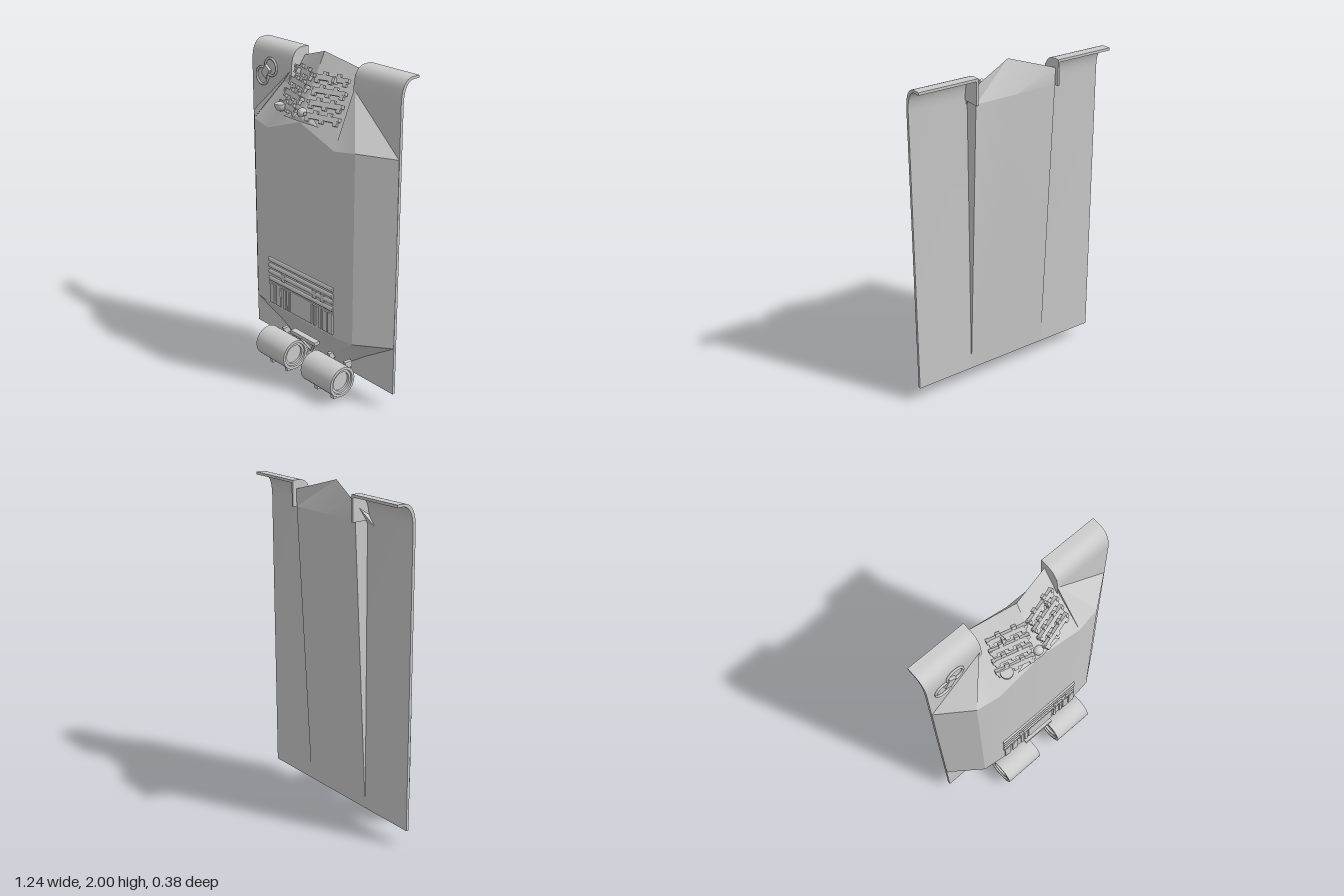
import * as THREE from 'three';
import { toCreasedNormals } from 'three/addons/utils/BufferGeometryUtils.js';
import { ConvexGeometry } from 'three/addons/geometries/ConvexGeometry.js';

const mat = new THREE.MeshStandardMaterial({ color: 0xcccccc, side: THREE.DoubleSide });

function add(parent, name, geo, x = 0, y = 0, z = 0) {
  const m = new THREE.Mesh(geo, mat);
  m.name = name;
  m.position.set(x, y, z);
  parent.add(m);
  return m;
}
const box = (p, n, w, h, d, x, y, z) => add(p, n, new THREE.BoxGeometry(w, h, d), x, y, z);

// skin stretched over rows of points
function loft(rows, crease) {
  const n = rows[0].length, idx = [];
  for (let i = 0; i < rows.length - 1; i++)
    for (let j = 0; j < n - 1; j++) {
      const a = i * n + j, c = a + n;
      idx.push(a, a + 1, c + 1, a, c + 1, c);
    }
  const g = new THREE.BufferGeometry();
  g.setAttribute('position', new THREE.Float32BufferAttribute(rows.flat(2), 3));
  g.setIndex(idx);
  g.computeVertexNormals();
  return toCreasedNormals(g, crease);
}

// shape drawn in (-z, y), pulled along x
function pullX(shape, x0, length) {
  const g = new THREE.ExtrudeGeometry(shape, { depth: length, bevelEnabled: false, curveSegments: 10 });
  g.rotateY(Math.PI / 2);
  g.translate(x0, 0, 0);
  return toCreasedNormals(g, 0.6);
}

function bar(parent, name, a, b, r) {
  const p = new THREE.Vector3(...a), q = new THREE.Vector3(...b);
  const m = add(parent, name, new THREE.CylinderGeometry(r, r, p.distanceTo(q), 8));
  m.position.copy(p).lerp(q, 0.5);
  m.quaternion.setFromUnitVectors(new THREE.Vector3(0, 1, 0), q.sub(p).normalize());
}

function buildHull(g) {
  // half rows from the centre line outwards
  const half = [
    [[0, 0.1, -0.06], [0.1, 0.1, -0.06], [0.2, 0.12, -0.06], [0.25, 0.17, -0.065]],
    [[0, 0.27, 0.03], [0.1, 0.27, 0.03], [0.27, 0.27, 0.02], [0.4, 0.26, -0.065]],
    [[0, 0.4, 0.1], [0.285, 0.4, 0.098], [0.43, 0.4, 0.08], [0.62, 0.4, -0.065]],
    [[0, 1.63, 0.1], [0.285, 1.53, 0.098], [0.43, 1.55, 0.08], [0.62, 1.53, -0.065]],
    [[0, 2, -0.085], [0.26, 1.92, -0.165], [0.26, 1.86, -0.075], [0.265, 1.85, -0.07]],
  ];
  const rows = half.map(h => [...h.slice(1).reverse().map(([x, y, z]) => [-x, y, z]), ...h]);
  add(g, 'upperHull', loft(rows, 0.45));

  // wedge-shaped belly on the back
  const belly = [[0.1, -0.085, 0.1, -0.085], [1.82, -0.165, 1.82, -0.165], [1.92, -0.165, 2, -0.085]]
    .map(([y, z, yc, zc]) => [[0.26, y, -0.07], [0.26, y, z], [0, yc, zc], [-0.26, y, z], [-0.26, y, -0.07]]);
  add(g, 'belly', loft(belly, 0.45));
  box(g, 'tailEdge', 0.54, 0.03, 0.025, 0, 0.115, -0.0725);
}

function buildFender(g, side) {
  const s = new THREE.Shape();
  s.moveTo(0.085, 0.1);
  s.lineTo(0.068, 0.1);
  s.lineTo(0.062, 1.84);
  s.quadraticCurveTo(0.065, 1.97, 0.15, 1.97);
  s.lineTo(0.19, 1.97);
  s.lineTo(0.19, 1.955);
  s.lineTo(0.15, 1.955);
  s.quadraticCurveTo(0.082, 1.95, 0.08, 1.83);
  add(g, 'fender', pullX(s, side > 0 ? 0.26 : -0.62, 0.36));
  // inner end plate under the curled edge
  const c = new THREE.Shape();
  c.moveTo(0.065, 1.82);
  c.lineTo(0.065, 1.84);
  c.quadraticCurveTo(0.068, 1.965, 0.15, 1.965);
  c.lineTo(0.19, 1.965);
  c.lineTo(0.19, 1.82);
  add(g, 'fenderEndPlate', pullX(c, side > 0 ? 0.26 : -0.272, 0.012));
}

function buildDrum(g, x) {
  const d = new THREE.Group();
  d.name = 'fuelDrum';
  d.position.set(x, 0.128, 0.09);
  g.add(d);
  const L = 0.1325;
  const prof = [[0, -L + 0.025], [0.06, -L + 0.025], [0.06, -L + 0.01], [0.075, -L + 0.01], [0.078, -L], [0.095, -L],
    [0.095, L], [0.078, L], [0.075, L - 0.01], [0.06, L - 0.01], [0.06, L - 0.025], [0, L - 0.025]];
  const body = new THREE.LatheGeometry(prof.map(p => new THREE.Vector2(...p)), 32);
  add(d, 'drumBody', toCreasedNormals(body, 0.5)).rotation.z = Math.PI / 2;
  // carrying straps around the underside and back
  for (const sx of [-0.072, 0.072]) {
    const s = new THREE.Shape();
    s.absarc(0, 0, 0.114, -Math.PI / 2 - 0.25, 0.7, false);
    s.absarc(0, 0, 0.094, 0.7, -Math.PI / 2 - 0.25, true);
    add(d, 'drumStrap', pullX(s, sx - 0.011, 0.022));
    box(d, 'strapLug', 0.026, 0.026, 0.03, sx, -0.115, 0.01);
    box(d, 'strapBracket', 0.022, 0.04, 0.05, sx, 0.06, -0.095);
  }
}

// spare track links lying on each slanted nose plate
function buildTrack(g, side) {
  const t = new THREE.Group();
  t.name = 'spareTrack';
  const u = new THREE.Vector3(1, 0, -0.29 * side).normalize();
  const n = new THREE.Vector3(0.29 * side, 0.52, 1).normalize();
  const v = new THREE.Vector3().crossVectors(n, u);
  t.quaternion.setFromRotationMatrix(new THREE.Matrix4().makeBasis(u, v, n));
  t.position.set(0.128 * side, 1.775, 0.012);
  g.add(t);
  for (let r = 0; r < 4; r++) {
    const y = (r - 1.5) * 0.073;
    box(t, 'trackLink', 0.21, 0.03, 0.02, 0, y, 0);
    for (let k = 0; k < 5; k++)
      box(t, 'trackTooth', 0.025, 0.022, 0.018, -0.09 + k * 0.045, y + (k % 2 ? 0.022 : -0.022), 0);
    for (const e of [-1, 1]) box(t, 'trackPin', 0.018, 0.02, 0.028, e * 0.104, y + 0.004, 0);
  }
  box(t, 'guideHorn', 0.016, 0.03, 0.045, 0.03 * side, 0.1, 0.012);
}

function buildEngineDeck(g) {
  const z = 0.1;
  // louvre slats
  for (const y of [0.7, 0.66, 0.62, 0.575]) {
    const r = add(g, 'deckSlat', new THREE.CylinderGeometry(0.012, 0.012, 0.575, 8), 0, y, z);
    r.rotation.z = Math.PI / 2;
    r.scale.x = 1.3;
    r.scale.z = 0.7;
  }
  box(g, 'deckCover', 0.19, 0.13, 0.012, 0.01, 0.48, z);
  box(g, 'deckRail', 0.575, 0.012, 0.012, 0, 0.55, z);
  for (const x of [-0.26, -0.2, -0.14, -0.11, 0.13, 0.18, 0.22, 0.27])
    box(g, 'deckRib', Math.abs(x) > 0.19 ? 0.04 : 0.018, 0.13, 0.014, x, 0.48, z);
  for (const x of [-0.15, 0.13, 0.2]) box(g, 'deckClamp', 0.03, 0.05, 0.018, x, 0.62, z);
}

export function createModel() {
  const g = new THREE.Group();
  g.name = 'armouredHull';
  buildHull(g);
  for (const s of [-1, 1]) {
    buildFender(g, s);
    buildTrack(g, s);
  }
  buildDrum(g, -0.192);
  buildDrum(g, 0.232);
  buildEngineDeck(g);

  // driver's prow with periscope, and headlight
  const prow = [[-0.15, 1.63, 0.09], [0.15, 1.63, 0.09], [0, 1.71, 0.05], [0, 1.635, 0.105], [0, 1.66, 0.1]];
  add(g, 'driverProw', toCreasedNormals(new ConvexGeometry(prow.map(p => new THREE.Vector3(...p))), 0.2));
  add(g, 'periscope', new THREE.SphereGeometry(0.028, 16, 10), 0, 1.68, 0.08);
  add(g, 'headlight', new THREE.SphereGeometry(0.035, 20, 10, 0, Math.PI * 2, 0, Math.PI / 2), -0.205, 1.675, 0.065)
    .rotation.x = Math.PI;
  add(g, 'headlightLens', new THREE.CylinderGeometry(0.035, 0.035, 0.012, 20), -0.205, 1.68, 0.065);

  // pair of shackle rings on the fender
  for (const [x, y] of [[-0.52, 1.765], [-0.44, 1.83]])
    add(g, 'shackleRing', new THREE.TorusGeometry(0.052, 0.007, 8, 28), x, y, -0.056);
  box(g, 'shackleBlock', 0.065, 0.05, 0.02, -0.48, 1.797, -0.054).rotation.z = 0.95;

  // tow bracket
  box(g, 'towCrossbar', 0.22, 0.022, 0.04, 0.01, 0.275, 0.075);
  for (const s of [-1, 1]) bar(g, 'towArm', [0.01 + s * 0.085, 0.265, 0.07], [0.01, 0.165, 0.02], 0.008);
  add(g, 'towRing', new THREE.TorusGeometry(0.032, 0.01, 8, 24), 0.01, 0.14, 0.015);
  return g;
}
